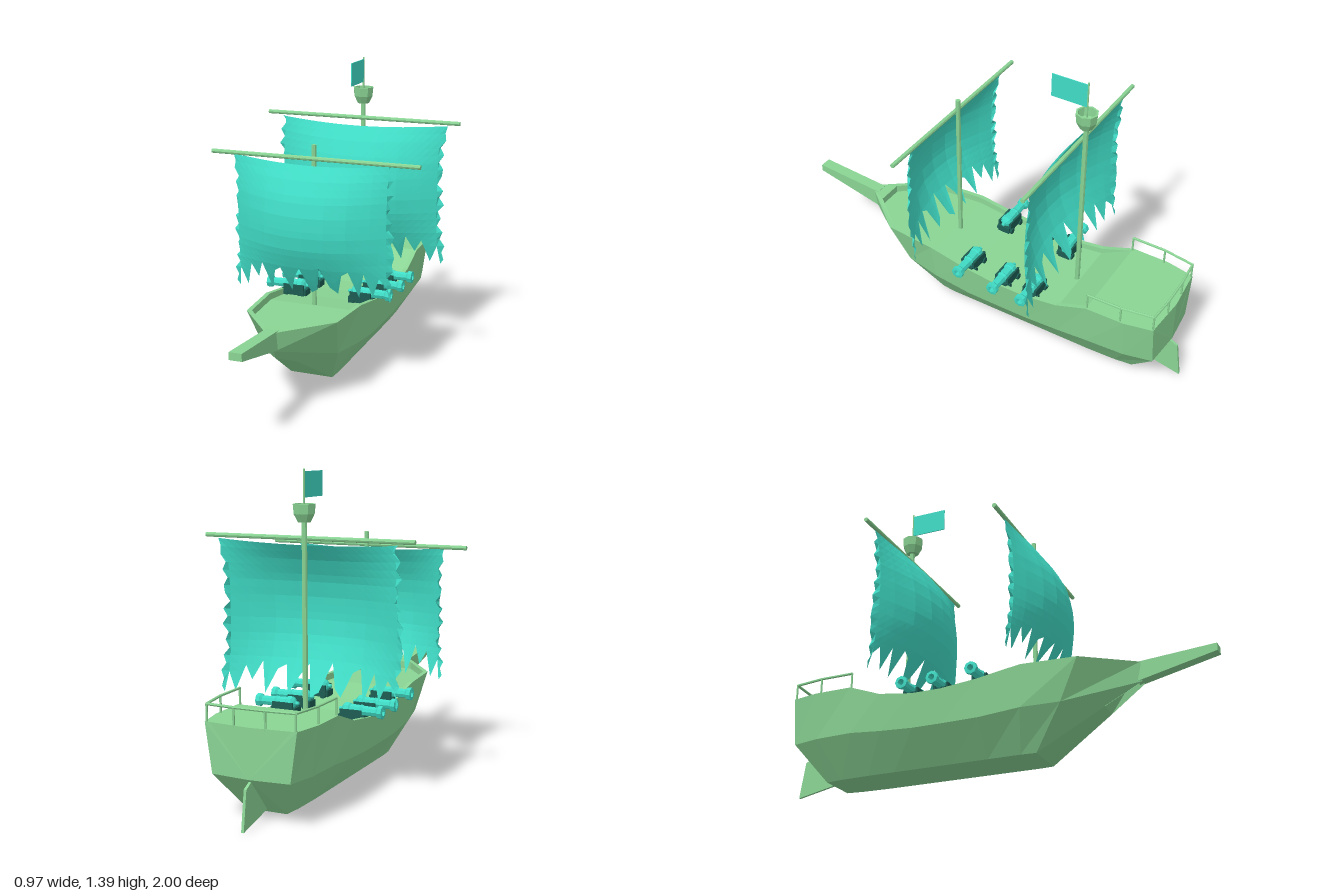
import * as THREE from 'three';

const V = (x, y, z) => new THREE.Vector3(x, y, z);
const paint = (color) => new THREE.MeshStandardMaterial({ color, flatShading: true, side: THREE.DoubleSide });
const wood = paint(0x8ad494), teal = paint(0x40dcc6), dark = paint(0x1d5c52);

function add(parent, name, geo, mat, x = 0, y = 0, z = 0) {
  const m = new THREE.Mesh(geo, mat);
  m.name = name;
  m.position.set(x, y, z);
  parent.add(m);
  return m;
}

// Flat-shaded geometry from triangles of points, without empty ones
function fromTriangles(tris) {
  const pts = tris.filter((t) => new THREE.Triangle(...t).getArea() > 1e-8).flat();
  const geo = new THREE.BufferGeometry().setFromPoints(pts);
  geo.computeVertexNormals();
  return geo;
}

// Round bar between two points
function bar(parent, name, a, b, r, mat = wood, sides = 6) {
  const d = b.clone().sub(a);
  const m = add(parent, name, new THREE.CylinderGeometry(r, r, d.length(), sides), mat);
  m.position.copy(a).add(b).multiplyScalar(0.5);
  m.quaternion.setFromUnitVectors(V(0, 1, 0), d.normalize());
}

// Piecewise linear lookup, u from 0 to 1
function sample(list, u) {
  const f = Math.min(Math.max(u, 0), 1) * (list.length - 1);
  const i = Math.min(Math.floor(f), list.length - 2);
  return list[i] + (list[i + 1] - list[i]) * (f - i);
}

// Closed ring: outer rail, chine, bottom, then rail and deck on the inside
function hullRing(t, m, b, inner, deck, deckZ = deck.z) {
  const half = [t, m, b];
  const flip = (p) => V(-p.x, p.y, p.z);
  return [...half, ...half.map(flip).reverse(), flip(inner), flip(deck), V(0, deck.y, deckZ), deck, inner];
}

function hullGeometry() {
  // rail x y z, chine x y z, bottom x y z, deck depth below the rail
  const stations = [
    [0.205, 0.41, -0.93, 0.175, 0.2, -0.93, 0.09, 0.03, -0.8, 0],
    [0.232, 0.41, -0.8, 0.205, 0.2, -0.8, 0.1, 0.03, -0.72, 0],
    [0.235, 0.41, -0.62, 0.215, 0.2, -0.62, 0.105, 0.03, -0.58, 0],
    [0.235, 0.355, -0.47, 0.215, 0.188, -0.47, 0.105, 0.03, -0.45, 0.025],
    [0.235, 0.333, -0.31, 0.215, 0.18, -0.31, 0.105, 0.03, -0.3, 0.025],
    [0.235, 0.333, -0.17, 0.215, 0.18, -0.17, 0.105, 0.03, -0.17, 0.025],
    [0.235, 0.35, 0, 0.215, 0.182, 0, 0.105, 0.03, 0, 0.025],
    [0.23, 0.385, 0.2, 0.21, 0.2, 0.19, 0.105, 0.03, 0.15, 0.03],
    [0.21, 0.387, 0.45, 0.18, 0.21, 0.36, 0.1, 0.03, 0.22, 0.03],
  ];
  const rings = stations.map((s, i) => {
    const z = i === 8 ? 0.44 : s[2];
    return hullRing(V(s[0], s[1], s[2]), V(s[3], s[4], s[5]), V(s[6], s[7], s[8]),
      V(s[0] - 0.02, s[1], z), V(s[0] - 0.022, s[1] - s[9], z), i === 0 ? -0.945 : z);
  });
  // Stem, then the front wall of the foredeck
  const stem = [V(0.03, 0.395, 0.67), V(0.018, 0.31, 0.67), V(0.05, 0.21, 0.51), V(0.06, 0.395, 0.6)];
  rings.push(hullRing(...stem, V(0.06, 0.36, 0.6)), hullRing(...stem, V(0.06, 0.395, 0.6)));

  const tris = [];
  const n = rings[0].length;
  for (let i = 0; i < n; i++) {
    const k = (i + 1) % n;
    for (let s = 0; s < rings.length - 1; s++) {
      const [a, b, c, d] = [rings[s][i], rings[s][k], rings[s + 1][k], rings[s + 1][i]];
      tris.push([a, c, b], [a, d, c]);
    }
    tris.push([V(0, 0.2, -0.945), rings[0][i], rings[0][k]]);
    const end = rings[rings.length - 1];
    tris.push([V(0, 0.395, 0.67), end[k], end[i]]);
  }
  return fromTriangles(tris);
}

// Billowing sail with torn sides and a ragged foot
function sailGeometry(top, halfWidth, z0, bulge, flip) {
  const foot = [0.41, 0.5, 0.42, 0.53, 0.47, 0.55, 0.42, 0.52, 0.54, 0.42, 0.5, 0.55, 0.42, 0.44, 0.56, 0.46,
    0.43, 0.53, 0.55, 0.42, 0.54, 0.43, 0.52, 0.48, 0.405];
  const tear = [0, 0.01, 0.005, 0.03, 0.012, 0.035, 0.015, 0.02, 0.045, 0.01, 0.03, 0.005, 0.035, 0.02, 0.04, 0.01,
    0.025, 0, 0.015, 0.005, 0.02];
  const down = [0.15, 0.55, 0.84, 0.97, 1, 0.92, 0.7, 0.4, 0.05];
  const across = [1, 0.95, 0.77, 0.47, 0.12];
  const rows = 20, cols = foot.length - 1;
  const point = (i, j) => {
    const u = (i / cols) * 2 - 1;
    const row = top - ((top - 0.4) * j) / rows;
    const sag = 0.02 * (1 - u * u) * (1 - j / rows);
    const y = Math.max(row - sag, foot[i]);
    const edge = i === 0 ? tear[j] : i === cols ? tear[(j + 7) % 20] : 0;
    const x = u * (halfWidth - edge) * flip;
    return V(x, y, z0 + bulge * sample(across, Math.abs(u)) * sample(down, (top - y) / (top - 0.4)));
  };
  const tris = [];
  for (let i = 0; i < cols; i++) for (let j = 0; j < rows; j++) {
    const [a, b, c, d] = [point(i, j), point(i, j + 1), point(i + 1, j + 1), point(i + 1, j)];
    tris.push(flip > 0 ? [a, b, c] : [a, c, b], flip > 0 ? [a, c, d] : [a, d, c]);
  }
  return fromTriangles(tris);
}

// Cannon pointing to +x, on a low carriage
function cannon() {
  const g = new THREE.Group();
  g.name = 'cannon';
  const profile = [[0, 0.095], [0.009, 0.1], [0.009, 0.112], [0.02, 0.118], [0.03, 0.128], [0.03, 0.15], [0.025, 0.155],
    [0.024, 0.2], [0.027, 0.205], [0.022, 0.215], [0.02, 0.275], [0.029, 0.285], [0.029, 0.303], [0.015, 0.305],
    [0.014, 0.26], [0, 0.26]].map(([r, l]) => new THREE.Vector2(r, l));
  add(g, 'barrel', new THREE.LatheGeometry(profile, 8), teal).rotation.z = -Math.PI / 2;
  add(g, 'carriageBed', new THREE.BoxGeometry(0.12, 0.03, 0.06), dark, 0.165, -0.033, 0);
  for (const s of [-1, 1]) {
    add(g, 'carriageCheek', new THREE.BoxGeometry(0.1, 0.04, 0.01), dark, 0.165, -0.014, s * 0.03);
    for (const x of [0.125, 0.205]) {
      add(g, 'wheel', new THREE.CylinderGeometry(0.015, 0.015, 0.01, 8), dark, x, -0.04, s * 0.036).rotation.x = Math.PI / 2;
    }
  }
  return g;
}

export function createModel() {
  const ship = new THREE.Group();
  ship.name = 'sailingShip';
  add(ship, 'hull', hullGeometry(), wood);

  // Bowsprit: box tapered towards its tip
  const sprit = new THREE.BoxGeometry(0.056, 1, 0.35);
  const p = sprit.attributes.position;
  for (let i = 0; i < p.count; i++) {
    const tip = p.getZ(i) > 0, up = p.getY(i) > 0;
    p.setY(i, tip ? (up ? 0.425 : 0.392) : up ? 0.397 : 0.31);
  }
  add(ship, 'bowsprit', sprit, wood, 0, 0, 0.825);

  // Rudder: thin plate under the stern
  const plate = new THREE.Shape([[0.8, 0.045], [1, 0.003], [0.975, 0.17], [0.925, 0.195]].map((q) => new THREE.Vector2(...q)));
  const rudder = new THREE.ExtrudeGeometry(plate, { depth: 0.012, bevelEnabled: false });
  add(ship, 'rudder', rudder.translate(0, 0, -0.006).rotateY(Math.PI / 2), wood);

  // Stern railing
  const railing = new THREE.Group();
  railing.name = 'sternRailing';
  ship.add(railing);
  const path = [[0.224, -0.62], [0.222, -0.78], [0.198, -0.925], [0.07, -0.935], [-0.07, -0.935], [-0.198, -0.925],
    [-0.222, -0.78], [-0.224, -0.62]];
  path.forEach(([x, z], i) => {
    bar(railing, 'railPost', V(x, 0.4, z), V(x, 0.482, z), 0.005);
    if (i) bar(railing, 'handrail', V(path[i - 1][0], 0.481, path[i - 1][1]), V(x, 0.481, z), 0.006);
  });

  // Masts, yards and sails
  bar(ship, 'foreMast', V(0, 0.33, 0.183), V(0, 1.085, 0.183), 0.011, wood, 8);
  bar(ship, 'mainMast', V(0, 0.31, -0.455), V(0, 1.2, -0.455), 0.012, wood, 8);
  bar(ship, 'flagPole', V(0, 1.2, -0.455), V(0, 1.39, -0.455), 0.004);
  bar(ship, 'foreYard', V(-0.487, 1.025, 0.195), V(0.487, 1.025, 0.195), 0.01, wood, 8);
  bar(ship, 'mainYard', V(-0.487, 1.102, -0.435), V(0.487, 1.102, -0.435), 0.01, wood, 8);
  add(ship, 'foreSail', sailGeometry(1.02, 0.38, 0.193, 0.142, 1), teal);
  add(ship, 'mainSail', sailGeometry(1.088, 0.43, -0.435, 0.16, -1), teal);

  // Lookout basket, open at the top
  const basket = [[0, 1.17], [0.028, 1.17], [0.046, 1.205], [0.05, 1.247], [0.041, 1.247], [0.037, 1.207], [0, 1.2]];
  add(ship, 'lookoutBasket', new THREE.LatheGeometry(basket.map((q) => new THREE.Vector2(...q)), 8), wood, 0, 0, -0.455);
  add(ship, 'flag', new THREE.BoxGeometry(0.004, 0.108, 0.17), teal, 0, 1.326, -0.37);

  // Three cannons on each side
  for (const [y, z] of [[0.375, 0.005], [0.362, -0.178], [0.362, -0.325]]) {
    for (const side of [1, -1]) {
      const c = cannon();
      c.position.set(0, y, z);
      if (side < 0) c.rotation.y = Math.PI;
      ship.add(c);
    }
  }
  return ship;
}
